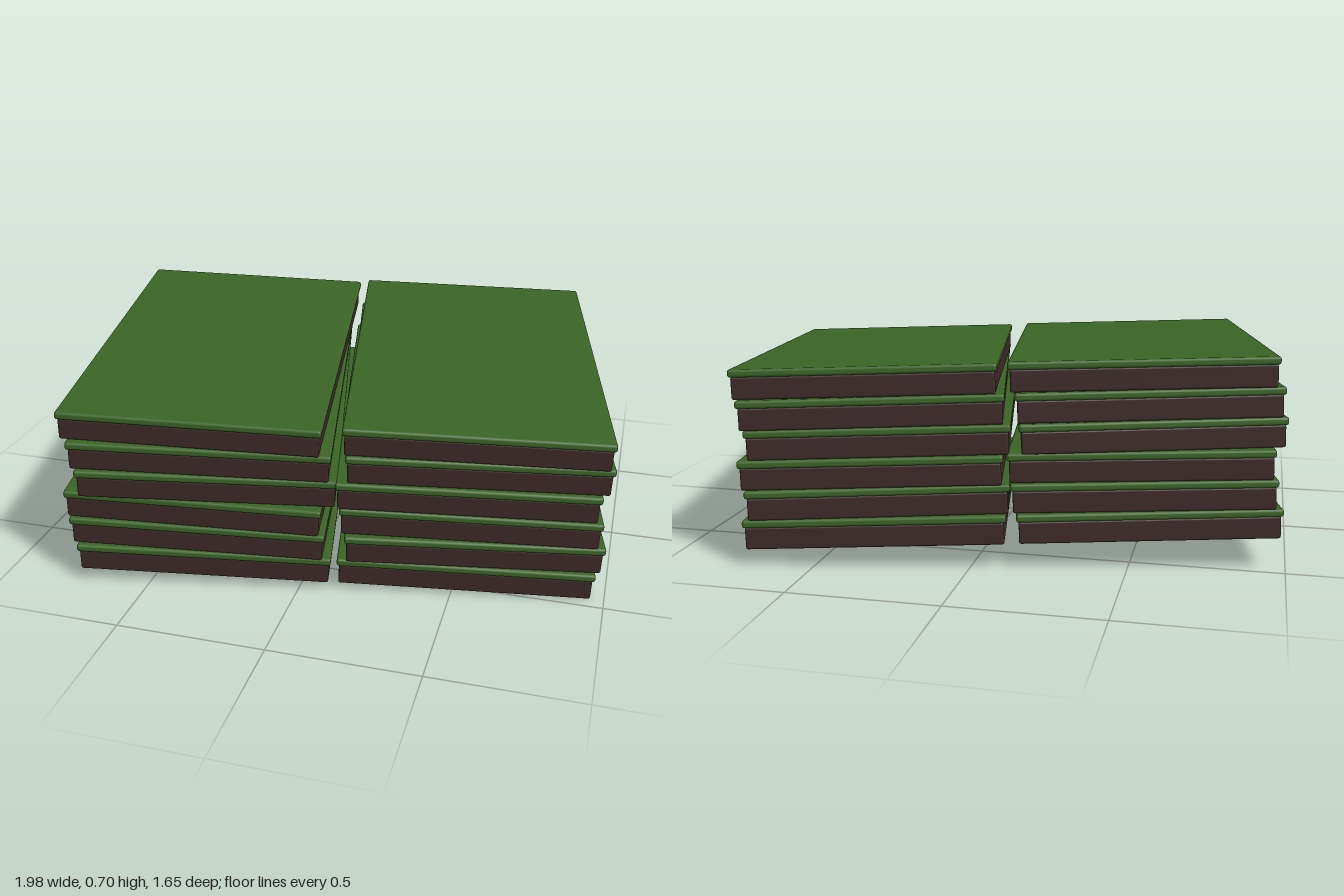
import * as THREE from 'three';
import { RoundedBoxGeometry } from 'three/addons/geometries/RoundedBoxGeometry.js';

const LAYER = 0.0985;              // height of one slab
const SLOPE_X = -0.0377, SLOPE_Z = -0.039, GROUND = 0.0645;

// Slab centre x, z and yaw, from the bottom layer up
const leftStack = [
  [-0.442, 0.075, 0.2], [-0.44, 0.08, 0.17], [-0.438, 0.085, 0.153],
  [-0.43, 0.089, 0.225], [-0.432, 0.095, 0.2], [-0.433, 0.098, 0.16],
];
const rightStack = [
  [0.421, -0.1, 0.19], [0.429, -0.095, 0.22], [0.431, -0.095, 0.19],
  [0.415, -0.085, 0.2], [0.44, -0.092, 0.21], [0.449, -0.083, 0.185],
];

export function createModel() {
  const model = new THREE.Group();
  model.name = 'turfStacks';

  const grass = new THREE.MeshStandardMaterial({ color: 0x3a6425 });
  grass.name = 'grass green';
  const soil = new THREE.MeshStandardMaterial({ color: 0x3d2828 });
  soil.name = 'soil brown';

  // Grass overhangs the soil a little
  const soilGeometry = new RoundedBoxGeometry(0.84, 0.074, 1.3, 2, 0.007);
  const grassGeometry = new RoundedBoxGeometry(0.855, 0.026, 1.315, 2, 0.009);

  // The whole pile leans with the sloping ground
  const up = new THREE.Vector3(0, 1, 0);
  const normal = new THREE.Vector3(-SLOPE_X, 1, -SLOPE_Z).normalize();
  const tilt = new THREE.Quaternion().setFromUnitVectors(up, normal);

  function addSlab(parent, [x, z, yaw], layer) {
    const slab = new THREE.Group();
    slab.name = `slab${layer + 1}`;
    const soilMesh = new THREE.Mesh(soilGeometry, soil);
    soilMesh.name = 'soilLayer';
    soilMesh.position.y = 0.037;
    const grassMesh = new THREE.Mesh(grassGeometry, grass);
    grassMesh.name = 'grassLayer';
    grassMesh.position.y = LAYER - 0.013;
    slab.add(soilMesh, grassMesh);
    slab.position.set(x, GROUND + layer * LAYER + SLOPE_X * x + SLOPE_Z * z, z);
    slab.quaternion.setFromAxisAngle(up, yaw).premultiply(tilt);
    parent.add(slab);
  }

  for (const [name, slabs] of [['rightStack', leftStack], ['leftStack', rightStack]]) {
    const stack = new THREE.Group();
    stack.name = name;             // named from the model's own side
    slabs.forEach((placement, layer) => addSlab(stack, placement, layer));
    model.add(stack);
  }
  return model;
}
